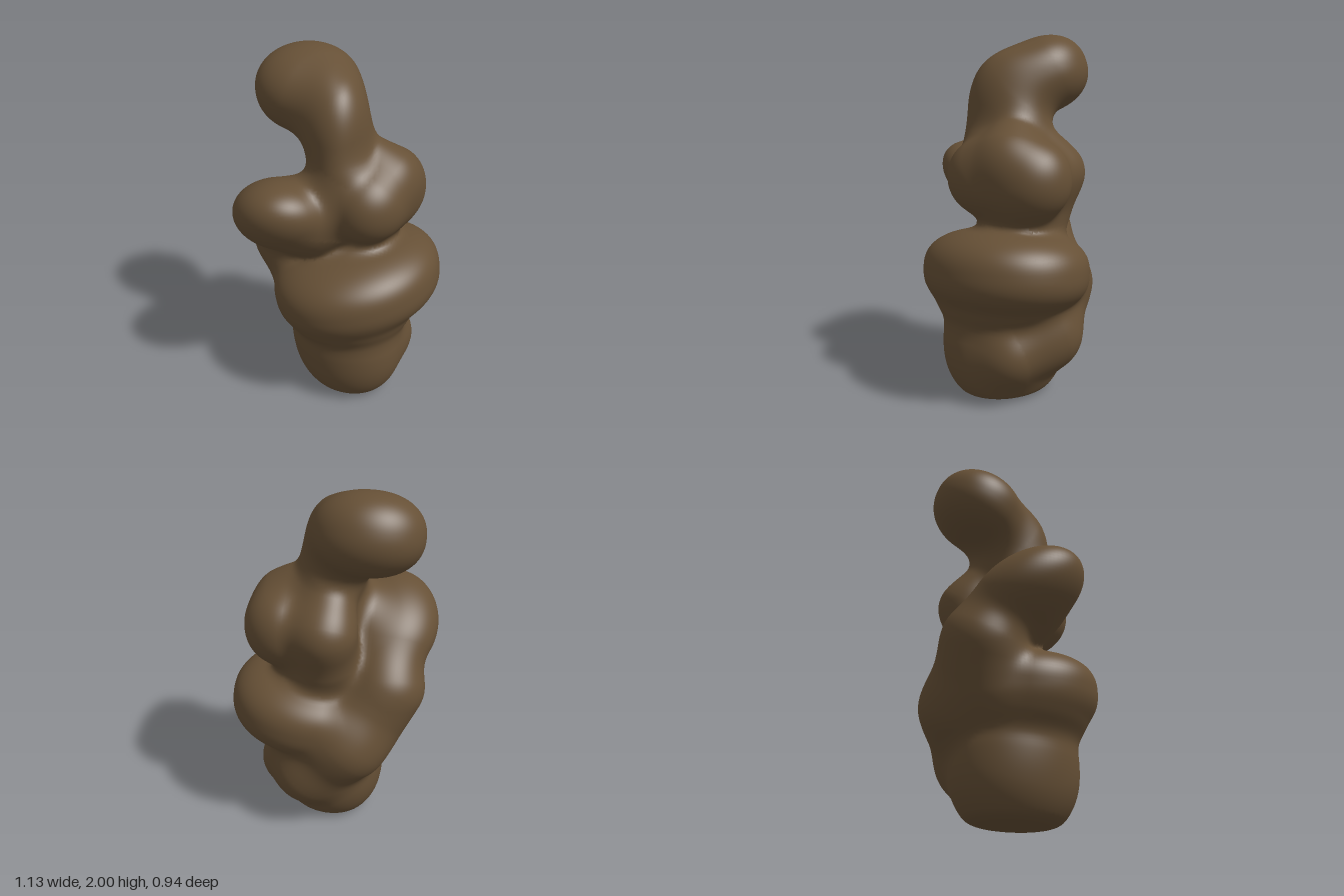
import * as THREE from 'three';

const BLEND = 0.1; // softness of the joins between lobes
const STEP = 0.02; // size of one sampling cell

// Rounded lobe, elliptical in plan: centre, radii, side exponent (2 = ellipsoid, more = boxier), tilt in degrees
function lobe(c, r, n = 2, tilt = [0, 0, 0]) {
  const q = new THREE.Quaternion()
    .setFromEuler(new THREE.Euler(...tilt.map(THREE.MathUtils.degToRad), 'ZYX')).invert();
  const v = new THREE.Vector3();
  return (x, y, z) => {
    v.set(x - c[0], y - c[1], z - c[2]).applyQuaternion(q);
    const a = Math.abs(v.x) / r[0] + 1e-6, b = Math.abs(v.y) / r[1] + 1e-6, d = Math.abs(v.z) / r[2] + 1e-6;
    const plan = Math.hypot(a, d);
    const k = (plan ** n + b ** n) ** (1 / n);
    const side = (plan / k) ** (n - 1) / plan;
    const slope = Math.hypot(side * a / r[0], (b / k) ** (n - 1) / r[1], side * d / r[2]);
    return (k - 1) / slope;
  };
}

// Tapered limb between two points
function limb(a, ra, b, rb) {
  const d = b.map((e, i) => e - a[i]);
  const len2 = d[0] ** 2 + d[1] ** 2 + d[2] ** 2;
  return (x, y, z) => {
    const px = x - a[0], py = y - a[1], pz = z - a[2];
    const t = THREE.MathUtils.clamp((px * d[0] + py * d[1] + pz * d[2]) / len2, 0, 1);
    return Math.hypot(px - t * d[0], py - t * d[1], pz - t * d[2]) - ra - t * (rb - ra);
  };
}

const parts = [
  // foot, inner core and soft skirt above the foot
  lobe([0.04, 0.3, 0.01], [0.37, 0.38, 0.31], 2.2, [0, -45, 0]),
  limb([0.03, 0.4, 0], 0.28, [0.07, 1.0, -0.09], 0.2),
  lobe([0.05, 0.53, 0.01], [0.36, 0.13, 0.36], 2),
  // broad tilted middle
  lobe([0.095, 0.71, 0], [0.5, 0.24, 0.44], 2.5, [0, 45, 9]),
  // ridge winding from the left flank, down the back, to the right of the foot
  limb([-0.22, 0.66, -0.1], 0.195, [-0.31, 0.88, -0.1], 0.195),
  limb([-0.31, 0.88, -0.1], 0.195, [-0.13, 0.59, -0.245], 0.2),
  limb([-0.13, 0.59, -0.245], 0.2, [0.1, 0.36, -0.23], 0.18),
  limb([0.1, 0.36, -0.23], 0.18, [0.265, 0.28, -0.06], 0.155),
  // raised arm-like lobe
  lobe([-0.29, 1.155, 0.135], [0.275, 0.2, 0.34], 2, [-30, 0, 0]),
  // shoulder: front fold, outer fold and the slope up to the neck
  lobe([0.15, 1.24, 0.03], [0.23, 0.23, 0.275], 2.1),
  lobe([0.24, 1.235, -0.15], [0.21, 0.22, 0.225], 2.1),
  limb([0.04, 1.5, -0.06], 0.12, [0.25, 1.35, -0.04], 0.145),
  // spine column, bent at the back
  limb([-0.02, 1.52, -0.06], 0.13, [0, 1.25, -0.25], 0.15),
  limb([0, 1.25, -0.25], 0.15, [0, 1.06, -0.2], 0.15),
  // neck, running down in front towards the arm lobe
  lobe([0, 1.45, 0.04], [0.125, 0.4, 0.19], 2),
  limb([0, 1.42, 0.08], 0.12, [-0.16, 1.13, 0.1], 0.19),
  // overhanging head
  lobe([-0.045, 1.66, -0.015], [0.18, 0.24, 0.205], 2),
  lobe([-0.205, 1.775, -0.16], [0.285, 0.213, 0.26], 2.2, [20, 0, 0]),
];

function smoothMin(a, b, k) {
  const h = Math.max(k - Math.abs(a - b), 0);
  return Math.min(a, b) - h * h / (4 * k);
}

// Signed distance to the whole body, cut flat at the ground
function field(x, y, z) {
  let d = parts[0](x, y, z);
  for (let i = 1; i < parts.length; i++) d = smoothMin(d, parts[i](x, y, z), BLEND);
  return -smoothMin(-d, y, 0.04);
}

function gradient(p, out) {
  const e = 0.004;
  return out.set(
    field(p.x + e, p.y, p.z) - field(p.x - e, p.y, p.z),
    field(p.x, p.y + e, p.z) - field(p.x, p.y - e, p.z),
    field(p.x, p.y, p.z + e) - field(p.x, p.y, p.z - e),
  ).divideScalar(2 * e);
}

// Skin the field: one vertex per crossed cell, one quad per crossed grid edge
function skin(min, max) {
  const size = min.map((m, i) => Math.ceil((max[i] - m) / STEP) + 1);
  const stride = [1, size[0], size[0] * size[1]];
  const values = new Float32Array(size[0] * size[1] * size[2]);
  const each = (from, trim, visit) => {
    for (let k = from; k < size[2] - trim; k++)
      for (let j = from; j < size[1] - trim; j++)
        for (let i = from; i < size[0] - trim; i++)
          visit(i, j, k, i + j * stride[1] + k * stride[2]);
  };
  each(0, 0, (i, j, k, id) => {
    values[id] = field(min[0] + i * STEP, min[1] + j * STEP, min[2] + k * STEP);
  });

  const cellVertex = new Int32Array(values.length).fill(-1);
  const positions = [], normals = [], index = [];
  const p = new THREE.Vector3(), g = new THREE.Vector3();
  each(0, 1, (i, j, k, id) => {
    let inside = 0;
    for (let c = 0; c < 8; c++) {
      const corner = id + (c & 1) + ((c >> 1) & 1) * stride[1] + (c >> 2) * stride[2];
      if (values[corner] < 0) inside++;
    }
    if (inside === 0 || inside === 8) return;
    p.set(min[0] + (i + 0.5) * STEP, min[1] + (j + 0.5) * STEP, min[2] + (k + 0.5) * STEP);
    for (let s = 0; s < 3; s++) {
      gradient(p, g);
      const move = -field(p.x, p.y, p.z) / Math.max(g.lengthSq(), 0.1);
      p.addScaledVector(g, THREE.MathUtils.clamp(move, -STEP, STEP));
    }
    gradient(p, g).normalize();
    cellVertex[id] = positions.length / 3;
    positions.push(p.x, p.y, p.z);
    normals.push(g.x, g.y, g.z);
  });

  each(1, 1, (i, j, k, id) => {
    for (let a = 0; a < 3; a++) {
      const here = values[id] < 0;
      if (here === values[id + stride[a]] < 0) continue;
      const b = stride[(a + 1) % 3], c = stride[(a + 2) % 3];
      const quad = [id - b - c, id - c, id, id - b].map((n) => cellVertex[n]);
      if (!here) quad.reverse();
      index.push(quad[0], quad[1], quad[2], quad[0], quad[2], quad[3]);
    }
  });

  const geometry = new THREE.BufferGeometry();
  geometry.setAttribute('position', new THREE.Float32BufferAttribute(positions, 3));
  geometry.setAttribute('normal', new THREE.Float32BufferAttribute(normals, 3));
  geometry.setIndex(index);
  return geometry;
}

export function createModel() {
  const group = new THREE.Group();
  group.name = 'abstractSculpture';
  const brown = new THREE.MeshStandardMaterial({ color: 0x665036 });
  brown.name = 'earthBrown';

  const body = new THREE.Mesh(skin([-0.75, -0.07, -0.65], [0.75, 2.15, 0.65]), brown);
  body.name = 'body';
  group.add(body);
  return group;
}
